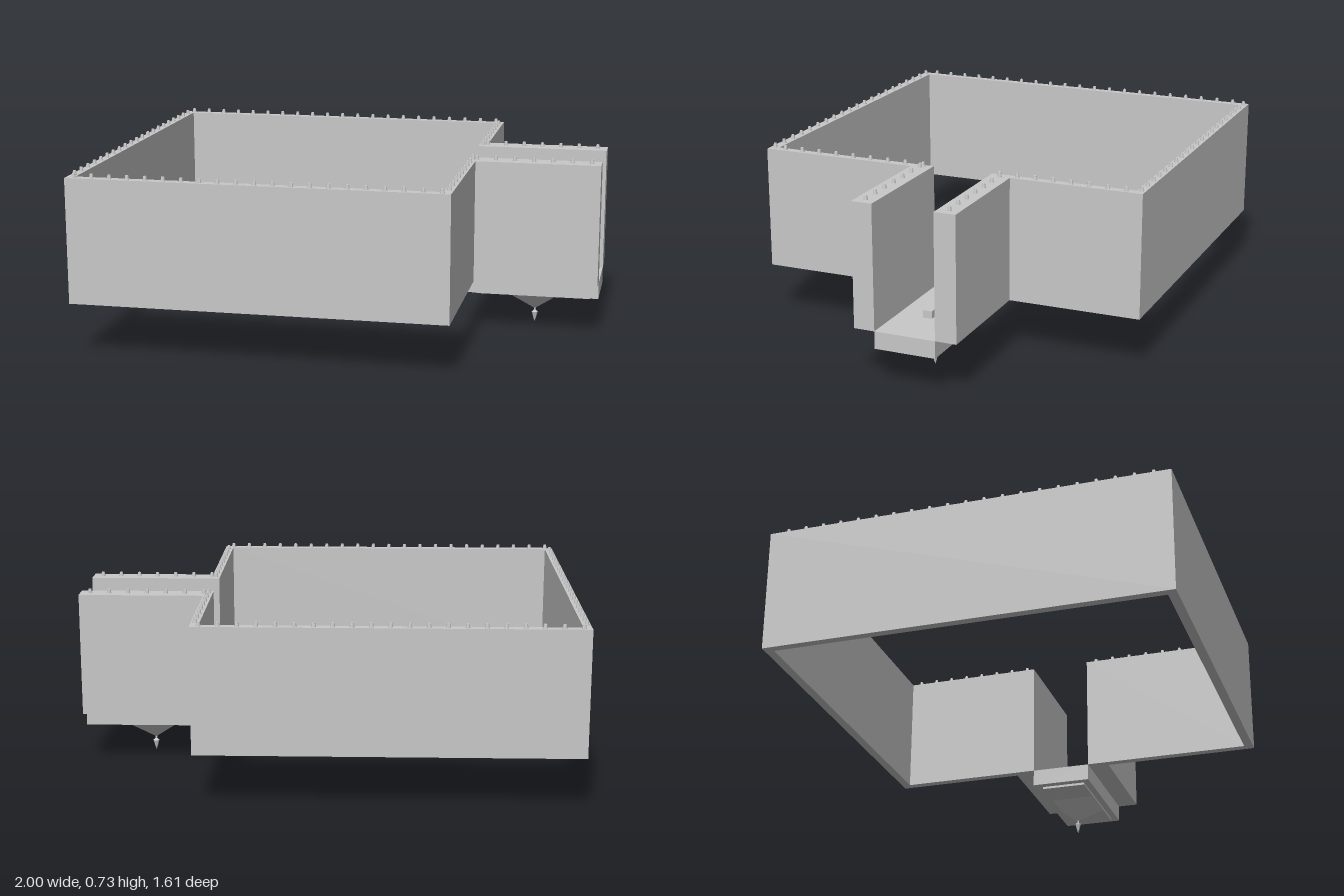
import * as THREE from 'three';

export function createModel() {
  const root = new THREE.Group();
  root.name = 'walledEnclosure';
  const grey = new THREE.MeshStandardMaterial({ color: 0xc8c8c8, flatShading: true });
  grey.name = 'light grey';

  const add = (name, geometry, x, y, z, parent = root) => {
    const mesh = new THREE.Mesh(geometry, grey);
    mesh.name = name;
    mesh.position.set(x, y, z);
    parent.add(mesh);
    return mesh;
  };

  // Walls: one open outline around the yard, with two thick arms along the gateway (x, z pairs)
  const bottom = 0.215, top = 0.715;
  const plan = [
    [0.463, 0.07], [1, 0.07], [1, 0.155], [0.497, 0.155], [0.497, 0.803], [-1, 0.803],
    [-1, -0.803], [0.497, -0.803], [0.497, -0.267], [1, -0.267], [1, -0.18], [0.463, -0.18],
    [0.463, -0.768], [-0.967, -0.768], [-0.967, 0.766], [0.463, 0.766],
  ];
  const outline = new THREE.Shape(plan.map(([x, z]) => new THREE.Vector2(x, -z)));
  const walls = new THREE.ExtrudeGeometry(outline, { depth: top - bottom, bevelEnabled: false });
  walls.rotateX(-Math.PI / 2);
  add('walls', walls, 0, bottom, 0);

  // Gateway floor with a thin panel beneath and a small block on top
  add('gatewayFloor', new THREE.BoxGeometry(0.537, 0.07, 0.25), 0.7315, 0.18, -0.055);
  add('floorPanel', new THREE.BoxGeometry(0.47, 0.01, 0.19), 0.73, 0.14, -0.053);
  add('floorBlock', new THREE.BoxGeometry(0.038, 0.03, 0.038), 0.78, 0.23, -0.054);

  // Inverted pyramid and hanging finial
  const pyramid = new THREE.CylinderGeometry(0.093 * Math.SQRT2, 0, 0.08, 4);
  pyramid.rotateY(Math.PI / 4);
  add('pyramid', pyramid, 0.73, 0.097, -0.053);
  const drop = [[0, 0], [0.005, 0.014], [0.013, 0.042], [0.004, 0.05], [0.004, 0.065]];
  add('finial', new THREE.LatheGeometry(drop.map(([r, y]) => new THREE.Vector2(r, y)), 8), 0.73, 0, -0.053);

  // Rows of studs along the wall tops
  const studs = new THREE.Group();
  studs.name = 'studs';
  root.add(studs);
  const stud = new THREE.CylinderGeometry(0.006, 0.0095, 0.018, 8);
  const row = (count, x0, z0, x1, z1) => {
    for (let i = 0; i < count; i++) {
      const t = i / (count - 1);
      add('stud', stud, x0 + (x1 - x0) * t, top + 0.008, z0 + (z1 - z0) * t, studs);
    }
  };
  row(21, -0.968, -0.787, 0.462, -0.787);
  row(21, -0.968, 0.785, 0.462, 0.785);
  row(21, -0.984, -0.733, -0.984, 0.733);
  row(8, 0.48, -0.733, 0.48, -0.217);
  row(9, 0.48, 0.109, 0.48, 0.727);
  row(7, 0.498, -0.225, 0.96, -0.225);
  row(7, 0.498, 0.114, 0.96, 0.114);

  return root;
}
